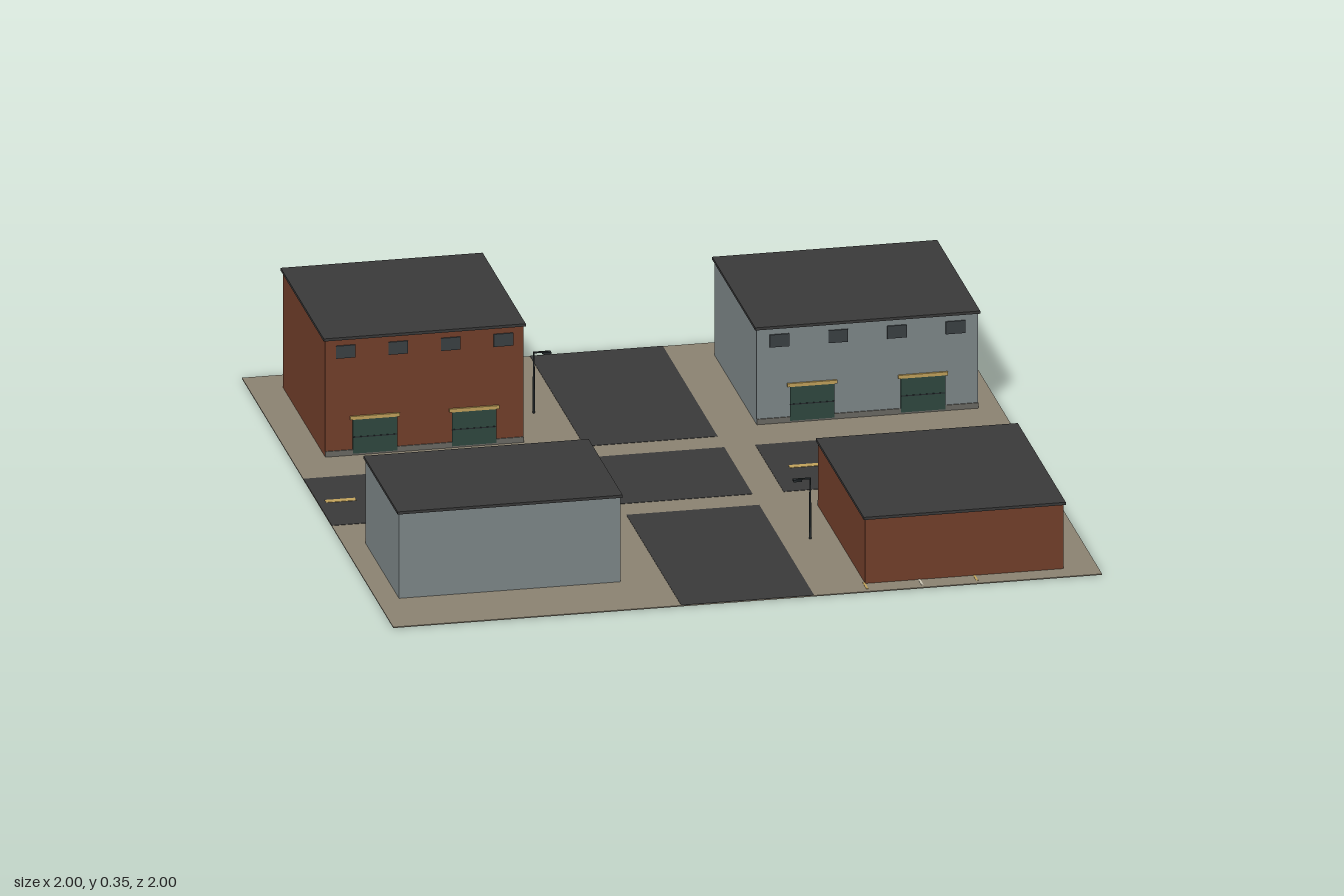
import * as THREE from 'three';

const mat = (name, color) => {
  const m = new THREE.MeshStandardMaterial({ color });
  m.name = name;
  return m;
};

export function createModel() {
  const M = {
    paving: mat('paving', 0x8c8473),
    asphalt: mat('asphalt', 0x3a3a3a),
    brick: mat('brick', 0x74402b),
    siding: mat('siding', 0x7f898b),
    door: mat('doorGreen', 0x2f4840),
    glass: mat('windowDark', 0x3b4144),
    gold: mat('goldPaint', 0xc4a45c),
    metal: mat('lampMetal', 0x262c2e),
    concrete: mat('concrete', 0x6c6a64),
    white: mat('whitePaint', 0xd2ccba),
  };
  const model = new THREE.Group();
  model.name = 'crossroadsBlock';

  // Box given by its centre x/z, bottom y and size
  const box = (parent, name, material, w, h, d, x, y, z) => {
    const mesh = new THREE.Mesh(new THREE.BoxGeometry(w, h, d), material);
    mesh.name = name;
    mesh.position.set(x, y + h / 2, z);
    parent.add(mesh);
    return mesh;
  };

  // Ground plate
  const top = 0.003;
  box(model, 'ground', M.paving, 2, top, 2, 0, 0, 0);

  // Roads: four arms and the crossing, with paved crosswalks left between
  const roadY = top - 0.001;
  box(model, 'crossing', M.asphalt, 0.375, 0.002, 0.375, 0, roadY, 0);
  for (const s of [-1, 1]) {
    box(model, 'sideRoad', M.asphalt, 0.725, 0.002, 0.375, s * 0.6375, roadY, 0);
    box(model, 'mainRoad', M.asphalt, 0.375, 0.002, 0.725, 0, roadY, s * 0.6375);
    for (let i = 0; i < 4; i++) {
      box(model, 'laneDash', M.gold, 0.085, 0.002, 0.02, s * (0.373 + i * 0.1875), roadY + 0.001, 0);
    }
  }

  // Parking lines behind the low brick building
  [0.342, 0.497, 0.652].forEach((x, i) => {
    box(model, 'parkingLine', i === 1 ? M.white : M.gold, 0.006, 0.001, 0.05, x, top, 0.955);
  });

  // Warehouse: the street front faces local +z
  const warehouse = (name, wall, w, h, d, x, z, turn) => {
    const g = new THREE.Group();
    g.name = name;
    g.position.set(x, 0, z);
    g.rotation.y = turn;
    model.add(g);
    const f = d / 2;
    box(g, 'walls', wall, w, h - 0.008, d, 0, 0, 0);
    box(g, 'roof', M.asphalt, w + 0.01, 0.008, d + 0.01, 0, h - 0.008, 0);
    box(g, 'plinth', M.concrete, w, 0.016, 0.004, 0, top, f + 0.001);
    // Upper windows
    for (let i = 0; i < 4; i++) {
      box(g, 'window', M.glass, 0.055, 0.037, 0.006, (i - 1.5) * w * 0.265, h - 0.062, f + 0.001);
    }
    // Loading doors with a painted lintel and a panel rail
    for (const s of [-1, 1]) {
      box(g, 'door', M.door, 0.125, 0.1, 0.006, s * w / 4, 0.008, f + 0.002);
      box(g, 'doorRail', M.metal, 0.125, 0.003, 0.002, s * w / 4, 0.055, f + 0.005);
      box(g, 'lintel', M.gold, 0.14, 0.01, 0.008, s * w / 4, 0.108, f + 0.002);
    }
  };
  warehouse('tallBrickWarehouse', M.brick, 0.56, 0.353, 0.56, -0.625, -0.625, 0);
  warehouse('greyWarehouse', M.siding, 0.625, 0.29, 0.56, 0.625, -0.625, 0);
  warehouse('smallGreyWarehouse', M.siding, 0.625, 0.26, 0.44, -0.625, 0.563, Math.PI);
  warehouse('lowBrickWarehouse', M.brick, 0.56, 0.2, 0.625, 0.625, 0.625, Math.PI);

  // Street lamps reaching towards the main road
  for (const s of [-1, 1]) {
    const g = new THREE.Group();
    g.name = 'streetLamp';
    g.position.set(s * 0.27, top, s * 0.562);
    model.add(g);
    const pole = new THREE.Mesh(new THREE.CylinderGeometry(0.0025, 0.0035, 0.18, 8), M.metal);
    pole.name = 'pole';
    pole.position.y = 0.09;
    g.add(pole);
    box(g, 'arm', M.metal, 0.04, 0.004, 0.004, -s * 0.02, 0.176, 0);
    box(g, 'lampHead', M.metal, 0.024, 0.006, 0.014, -s * 0.036, 0.172, 0);
  }
  return model;
}
